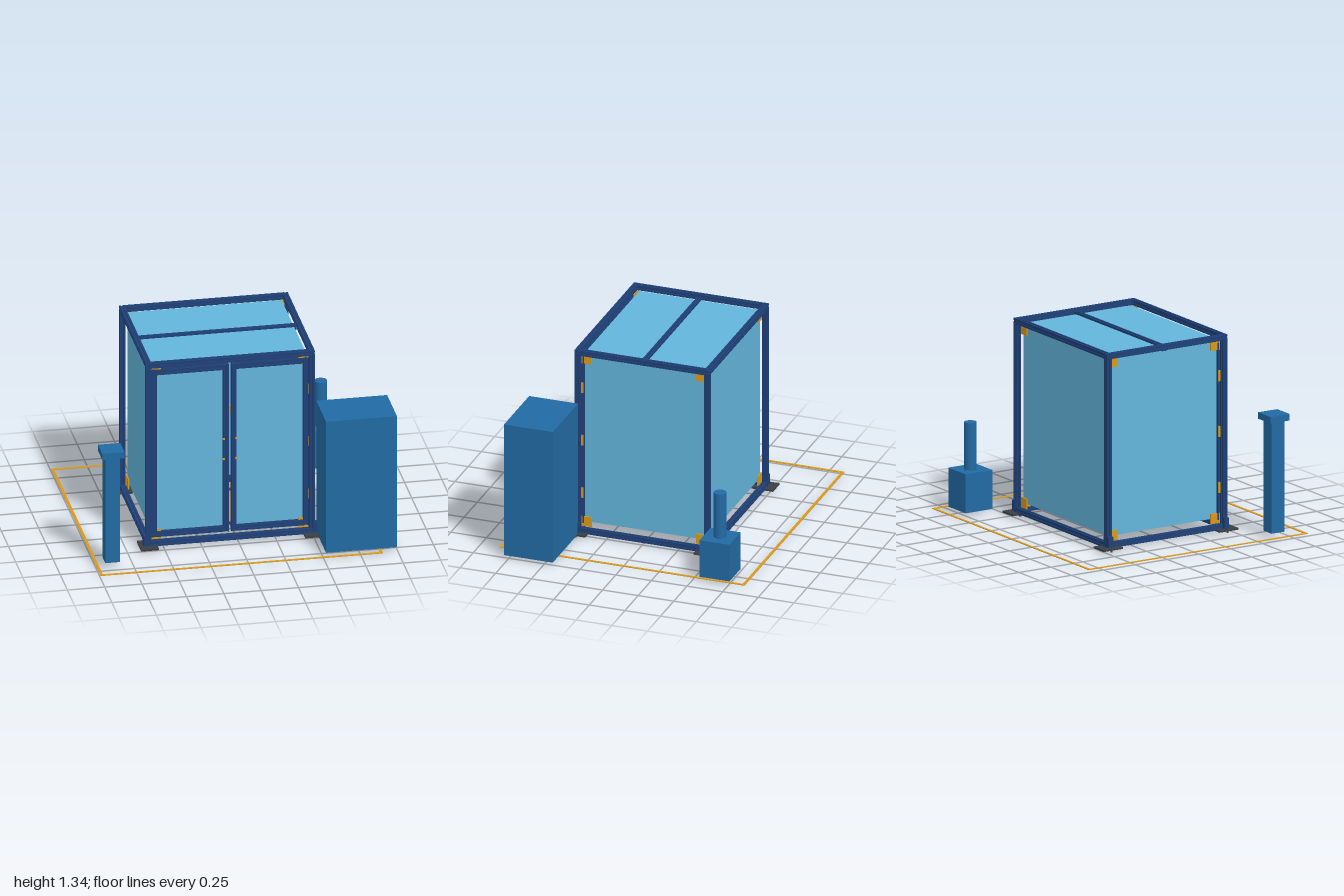
import * as THREE from 'three';

const material = (color) => new THREE.MeshStandardMaterial({ color });
const NAVY = material(0x1e4076), GLASS = material(0x63b5dc), BLUE = material(0x216aa3);
const ORANGE = material(0xd9991a), DARK = material(0x3a3f47);

const P = 0.036;                        // side of the slotted profile
const X0 = -0.62, X1 = 0.51, ZF = 0.473; // outer limits of the enclosure
const Y0 = 0.02, Y1 = 1.342;
const CX = (X0 + X1) / 2;

// Box given by its limits on each axis
function box(parent, name, mat, [x0, x1], [y0, y1], [z0, z1]) {
  const mesh = new THREE.Mesh(new THREE.BoxGeometry(x1 - x0, y1 - y0, z1 - z0), mat);
  mesh.position.set((x0 + x1) / 2, (y0 + y1) / 2, (z0 + z1) / 2);
  mesh.name = name;
  parent.add(mesh);
  return mesh;
}

function cylinder(parent, name, mat, r, [y0, y1], x, z, sides = 32) {
  const mesh = new THREE.Mesh(new THREE.CylinderGeometry(r, r, y1 - y0, sides), mat);
  mesh.position.set(x, (y0 + y1) / 2, z);
  mesh.name = name;
  parent.add(mesh);
}

// Square section with a groove in the middle of each side
function slottedShape(size) {
  const h = size / 2, w = size * 0.13, d = h - size * 0.2;
  const side = [[h, -h], [h, -w], [d, -w], [d, w], [h, w]];
  const points = [];
  for (let i = 0; i < 4; i++) {
    for (const [a, b] of side) {
      const p = new THREE.Vector2(a, b).rotateAround(new THREE.Vector2(), i * Math.PI / 2);
      points.push(p);
    }
  }
  return new THREE.Shape(points);
}

// Slotted bar along an axis, centred at (x, y, z)
function bar(parent, name, axis, length, x, y, z, size = P) {
  const geo = new THREE.ExtrudeGeometry(slottedShape(size), { depth: length, bevelEnabled: false });
  geo.translate(0, 0, -length / 2);
  if (axis === 'x') geo.rotateY(Math.PI / 2);
  if (axis === 'y') geo.rotateX(Math.PI / 2);
  const mesh = new THREE.Mesh(geo, NAVY);
  mesh.position.set(x, y, z);
  mesh.name = name;
  parent.add(mesh);
}

function group(parent, name) {
  const g = new THREE.Group();
  g.name = name;
  parent.add(g);
  return g;
}

function buildFrame(root) {
  const g = group(root, 'enclosureFrame');
  const h = P / 2;
  for (const x of [X0 + h, X1 - h]) {
    for (const z of [-ZF + h, ZF - h]) bar(g, 'cornerPost', 'y', Y1 - Y0 - 2 * P, x, (Y0 + Y1) / 2, z);
    for (const y of [Y0 + h, Y1 - h]) bar(g, 'sideRail', 'z', 2 * ZF, x, y, 0);
  }
  for (const z of [-ZF + h, ZF - h])
    for (const y of [Y0 + h, Y1 - h]) bar(g, 'crossRail', 'x', X1 - X0 - 2 * P, CX, y, z);
  bar(g, 'roofBeam', 'x', X1 - X0 - 2 * P, CX, 1.308, 0);
}

function buildPanels(root) {
  const g = group(root, 'panels');
  const x0 = -0.57, x1 = 0.46, y = [0.09, 1.308];
  box(g, 'roofPanel', GLASS, [x0, x1], [1.302, 1.31], [-0.42, 0.418]);
  box(g, 'backPanel', GLASS, [x0, x1], y, [-0.428, -0.42]);
  box(g, 'leftPanel', GLASS, [x1 - 0.008, x1], y, [-0.419, 0.418]);
  box(g, 'rightPanel', GLASS, [x0, x0 + 0.008], y, [-0.419, 0.418]);
}

// Square plates in the corners of each wall
function buildCornerPlates(root) {
  const g = group(root, 'cornerPlates');
  for (const y of [[0.056, 0.126], [1.236, 1.306]]) {
    for (const x of [[0.461, 0.469], [-0.579, -0.571]])
      for (const z of [[-0.437, -0.367], [0.367, 0.437]]) box(g, 'sidePlate', ORANGE, x, y, z);
    for (const z of [[-0.437, -0.429], [0.43, 0.438]])
      for (const x of [[-0.584, -0.516], [0.406, 0.474]]) box(g, 'facePlate', ORANGE, x, y, z);
  }
}

function buildDoor(root, s) {
  const g = group(root, s > 0 ? 'leftDoor' : 'rightDoor');
  const at = (d) => CX + s * d;
  const span = (a, b) => [Math.min(at(a), at(b)), Math.max(at(a), at(b))];
  const inner = 0.008, outer = 0.526, y0 = 0.078, y1 = 1.284, z = 0.439, h = P / 2;
  for (const d of [inner + h, outer - h]) bar(g, 'doorStile', 'y', y1 - y0, at(d), (y0 + y1) / 2, z);
  for (const y of [y0 + h, y1 - h])
    bar(g, 'doorRail', 'x', outer - inner - 2 * P, at((inner + outer) / 2), y, z);
  box(g, 'doorPanel', GLASS, span(inner + P - 0.005, outer - P + 0.005), [0.107, 1.254], [0.421, 0.429]);
  // Hinges on the outer stile
  for (const y of [0.3, 0.68, 1.06])
    box(g, 'hinge', ORANGE, span(0.521, 0.532), [y - 0.037, y + 0.037], [0.422, 0.446]);
  // Pull handle on the meeting stile
  for (const y of [0.605, 0.75])
    box(g, 'handleMount', ORANGE, span(0.034, 0.049), [y - 0.007, y + 0.007], [0.455, 0.463]);
}

function buildLatch(root) {
  const g = group(root, 'doorLatch');
  box(g, 'lockBody', ORANGE, [CX - 0.012, CX + 0.012], [0.912, 0.974], [0.405, 0.43]);
  box(g, 'lockKeeper', NAVY, [CX - 0.012, CX + 0.012], [0.422, 0.464], [0.405, 0.43]);
}

// Foot pads with an upright bracket and two anchor bolts each
function buildFeet(root) {
  for (const sx of [-1, 1]) {
    for (const sz of [-1, 1]) {
      const g = group(root, 'foot');
      const cx = CX + sx * 0.55, cz = sz * 0.455;
      box(g, 'footPad', DARK, [cx - 0.06, cx + 0.06], [0.016, 0.028], [cz - 0.075, cz + 0.075]);
      const face = CX + sx * 0.574;
      box(g, 'footBracket', NAVY, [face - 0.009, face + 0.009], [0.028, 0.1], [cz - 0.018, cz + 0.018]);
      for (const d of [-0.04, 0.04]) cylinder(g, 'anchorBolt', DARK, 0.007, [0, 0.018], cx + d, cz, 12);
    }
  }
}

// Low tray on its own frame inside the enclosure
function buildTray(root) {
  const g = group(root, 'tray');
  const r = 0.29, h = 0.015, y = 0.063;
  for (const s of [-1, 1]) {
    bar(g, 'traySideRail', 'z', 2 * r, CX + s * (r - h), y, 0, 0.03);
    bar(g, 'trayCrossRail', 'x', 2 * r - 0.06, CX, y, s * (r - h), 0.03);
  }
  box(g, 'trayPlate', ORANGE, [CX - 0.315, CX + 0.315], [0.078, 0.088], [-0.31, 0.31]);
  box(g, 'traySlot', DARK, [CX - 0.14, CX + 0.14], [0.073, 0.091], [-0.19, -0.155]);
}

// Separate units standing around the enclosure
function buildSurroundings(root) {
  box(root, 'controlCabinet', BLUE, [0.525, 1], [0.018, 0.965], [0.442, 0.784]);

  const post = group(root, 'consolePost');
  box(post, 'postColumn', BLUE, [-0.94, -0.84], [0.037, 0.796], [0.61, 0.71]);
  box(post, 'postHead', BLUE, [-0.965, -0.815], [0.796, 0.84], [0.585, 0.735]);

  const unit = group(root, 'extractorUnit');
  box(unit, 'unitBase', BLUE, [0.66, 0.87], [0.018, 0.283], [-0.75, -0.54]);
  cylinder(unit, 'unitPipe', BLUE, 0.042, [0.283, 0.603], 0.765, -0.645);

  // Marked floor boundary
  const line = group(root, 'floorBoundary');
  const x0 = -1, x1 = 0.893, z0 = -0.864, z1 = 0.857, w = 0.019, y = [0.015, 0.019];
  for (const x of [[x0, x0 + w], [x1 - w, x1]]) box(line, 'sideLine', ORANGE, x, y, [z0, z1]);
  for (const z of [[z0, z0 + w], [z1 - w, z1]]) box(line, 'endLine', ORANGE, [x0 + w, x1 - w], y, z);
}

export function createModel() {
  const root = new THREE.Group();
  root.name = 'machineCell';
  buildFrame(root);
  buildPanels(root);
  buildCornerPlates(root);
  for (const s of [-1, 1]) buildDoor(root, s);
  buildLatch(root);
  buildFeet(root);
  buildTray(root);
  buildSurroundings(root);
  return root;
}
